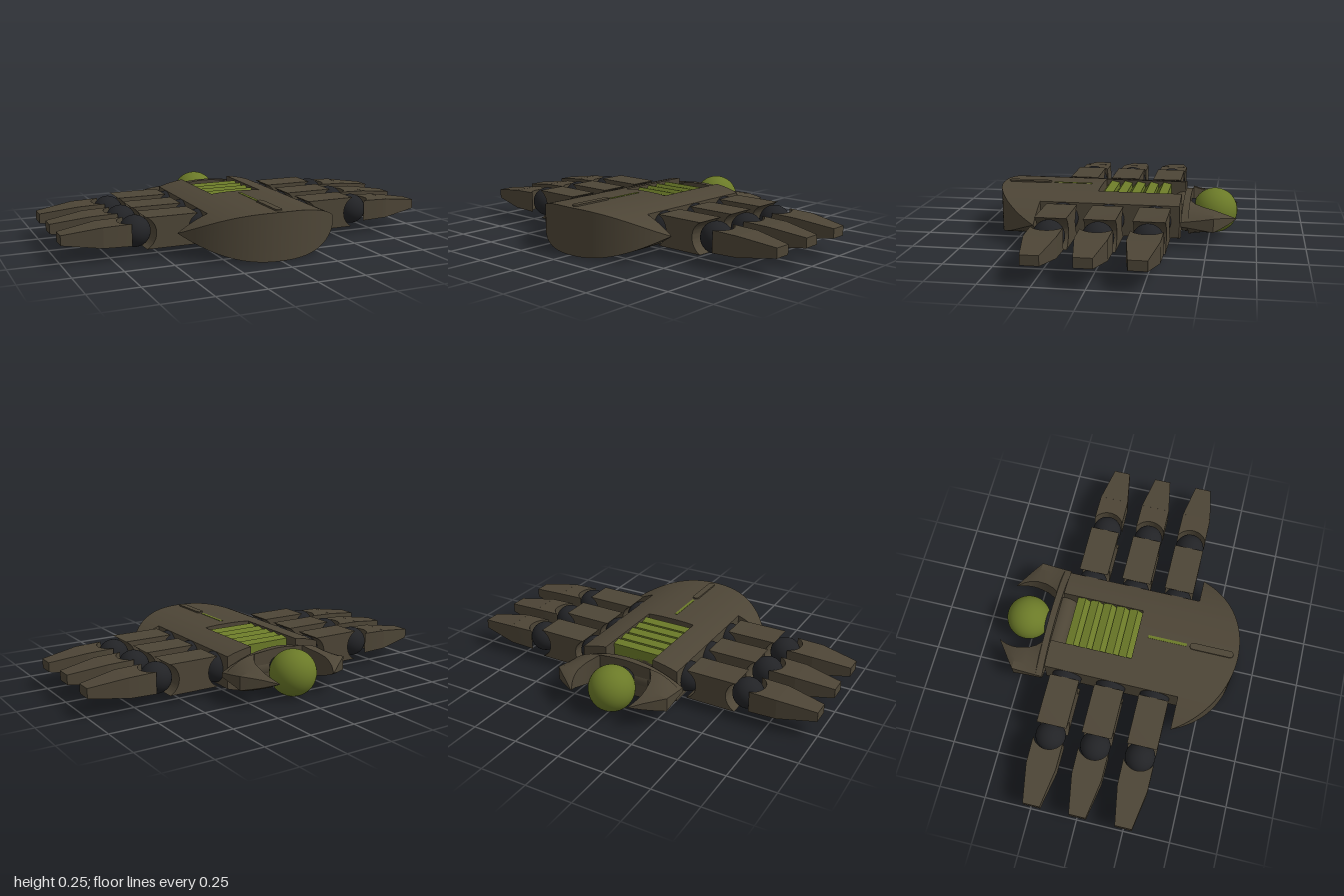
import * as THREE from 'three';
import { toCreasedNormals } from 'three/addons/utils/BufferGeometryUtils.js';

const MID = 0.122; // height of the horizontal symmetry plane
const armour = new THREE.MeshStandardMaterial({ color: 0x4d4536 });
const dark = new THREE.MeshStandardMaterial({ color: 0x222326 });
const green = new THREE.MeshStandardMaterial({ color: 0x6b7a28 });

function add(parent, name, geometry, material, x = 0, y = 0, z = 0) {
  const mesh = new THREE.Mesh(geometry, material);
  mesh.name = name;
  mesh.position.set(x, y, z);
  parent.add(mesh);
  return mesh;
}

// Skin a row of closed rings, skipping collapsed triangles
function loft(rings) {
  const pos = [];
  const tri = (...p) => {
    const [a, b, c] = p.map((q) => new THREE.Vector3(...q));
    if (b.clone().sub(a).cross(c.clone().sub(a)).length() > 1e-8) p.forEach((q) => pos.push(...q));
  };
  for (let i = 0; i < rings.length - 1; i++) {
    const a = rings[i], b = rings[i + 1], n = a.length;
    for (let j = 0; j < n; j++) {
      const k = (j + 1) % n;
      tri(a[j], b[j], b[k]);
      tri(a[j], b[k], a[k]);
    }
  }
  const g = new THREE.BufferGeometry();
  g.setAttribute('position', new THREE.Float32BufferAttribute(pos, 3));
  return toCreasedNormals(g, 0.4);
}

// Body: lens section, rounded front, straight sides, rear notch and top recess
const lens = (x) => 0.122 * (1 - Math.pow(Math.min(1, Math.abs(x) / 0.44), 2.6));
function bodyGeometry() {
  const ring = (x, zone) => {
    const h = lens(x), top = MID + h, bottom = MID - h;
    const front = 0.142 + Math.sqrt(Math.max(0, 0.498 ** 2 - x * x));
    const back = [-0.275, -0.355, 0.375][zone];
    const recess = zone === 0 ? 0.09 : back;
    const floor = zone === 0 ? 0.17 : top;
    return [[x, top, front], [x, top, recess], [x, floor, recess],
      [x, floor, back], [x, bottom, back], [x, bottom, front]];
  };
  const rings = [];
  const spans = [[-0.44, -0.28, 2], [-0.28, -0.14, 1], [-0.14, 0.14, 0], [0.14, 0.28, 1], [0.28, 0.44, 2]];
  for (const [x0, x1, zone] of spans) {
    for (let i = 0; i <= 12; i++) rings.push(ring(x0 + (x1 - x0) * i / 12, zone));
  }
  return loft(rings);
}

// One half of the rear collar: curved inside edge, thin outer rim, pointed tip
function collarGeometry() {
  // z, inner x, outer x, inner half height, outer half height
  const rows = [
    [-0.365, 0, 0.32, 0, 0], [-0.365, 0, 0.32, 0.1, 0.012], [-0.4, 0, 0.32, 0.1, 0.016],
    [-0.4, 0.15, 0.32, 0.088, 0.016], [-0.43, 0.173, 0.32, 0.073, 0.02],
    [-0.47, 0.191, 0.32, 0.063, 0.026], [-0.53, 0.2, 0.32, 0.05, 0.036],
    [-0.565, 0.197, 0.275, 0.037, 0.028], [-0.6, 0.187, 0.227, 0.023, 0.018],
    [-0.645, 0.164, 0.166, 0, 0],
  ];
  const cols = 6;
  return loft(rows.map(([z, xi, xo, hi, ho]) => {
    const ring = [];
    for (const side of [1, -1]) {
      for (let i = 0; i <= cols; i++) {
        const t = side > 0 ? 1 - i / cols : i / cols;
        ring.push([xi + (xo - xi) * t, MID + side * (hi + (ho - hi) * t * t), z]);
      }
    }
    return ring;
  }));
}

// Upper leg: block with hollow ends that clear the ball joints
function upperLegGeometry() {
  const s = new THREE.Shape();
  s.moveTo(0.315, -0.08);
  s.lineTo(0.583, -0.08);
  s.absarc(0.62, 0, 0.088, -2.0, -2.0 - 2 * (Math.PI - 2.0), true);
  s.lineTo(0.583, 0.08);
  s.lineTo(0.315, 0.08);
  s.absarc(0.28, 0, 0.085, 1.14, -1.14, true);
  const g = new THREE.ExtrudeGeometry(s, { depth: 0.16, bevelEnabled: false, curveSegments: 14 });
  return toCreasedNormals(g.translate(0, 0, -0.08), 0.5);
}

// Plan outline given thickness by a rule along x
function plate(shape, halfHeight) {
  const g = new THREE.ExtrudeGeometry(shape, { depth: 2, bevelEnabled: false, curveSegments: 14 });
  g.translate(0, 0, -1).rotateX(-Math.PI / 2);
  const p = g.attributes.position;
  for (let i = 0; i < p.count; i++) p.setY(i, p.getY(i) * halfHeight(p.getX(i)));
  return toCreasedNormals(g, 0.5);
}

function lowerLegGeometry() {
  const s = new THREE.Shape();
  s.moveTo(0.657, -0.08);
  s.lineTo(0.8, -0.079);
  s.lineTo(0.8, 0.079);
  s.lineTo(0.657, 0.08);
  s.absarc(0.62, 0, 0.088, 1.14, -1.14, true);
  return plate(s, (x) => 0.056 - (x - 0.657) * 0.03);
}

function footGeometry() {
  const s = new THREE.Shape();
  s.moveTo(0.8, -0.079);
  s.lineTo(1, -0.045);
  s.lineTo(1, 0.045);
  s.lineTo(0.8, 0.079);
  return plate(s, (x) => 0.052 - (x - 0.8) * 0.135);
}

// Sawtooth strip of louvres
function louvreGeometry() {
  const s = new THREE.Shape();
  const n = 5, pitch = 0.365 / n;
  s.moveTo(-0.09, 0.16);
  for (let i = 0; i < n; i++) {
    const z = -0.09 + i * pitch;
    s.lineTo(z, 0.195);
    s.lineTo(z + pitch * 0.4, 0.232);
    s.lineTo(z + pitch, 0.222);
  }
  s.lineTo(0.275, 0.16);
  const g = new THREE.ExtrudeGeometry(s, { depth: 0.28, bevelEnabled: false });
  return g.translate(0, 0, -0.14).rotateY(Math.PI / 2);
}

// Raised rib with round ends
function ribGeometry() {
  const s = new THREE.Shape();
  s.absarc(0, 0.1, 0.018, 0, Math.PI);
  s.absarc(0, -0.1, 0.018, Math.PI, Math.PI * 2);
  const g = new THREE.ExtrudeGeometry(s, { depth: 0.022, bevelEnabled: false, curveSegments: 10 });
  return g.rotateX(-Math.PI / 2);
}

export function createModel() {
  const model = new THREE.Group();
  model.name = 'sixLeggedCrawler';

  add(model, 'body', bodyGeometry(), armour);
  add(model, 'louvres', louvreGeometry(), green);
  add(model, 'topStripe', new THREE.BoxGeometry(0.016, 0.02, 0.21), green, 0, 0.236, 0.255);
  add(model, 'topRib', ribGeometry(), armour, 0, 0.23, 0.495);

  // Rear hinge, neck and ball
  add(model, 'hinge', new THREE.CylinderGeometry(0.06, 0.06, 0.276, 32).rotateZ(Math.PI / 2),
    armour, 0, MID, -0.345);
  add(model, 'neck', new THREE.CylinderGeometry(0.06, 0.06, 0.06, 24).rotateX(Math.PI / 2),
    dark, 0, MID, -0.395);
  add(model, 'rearBall', new THREE.SphereGeometry(0.12, 40, 28), green, 0, MID, -0.525);

  // Mirrored collar halves and three legs on each side
  const collar = collarGeometry(), upper = upperLegGeometry(), lower = lowerLegGeometry();
  const foot = footGeometry(), joint = new THREE.SphereGeometry(0.08, 32, 20);
  for (const side of [1, -1]) {
    const half = new THREE.Group();
    half.name = side > 0 ? 'leftSide' : 'rightSide';
    half.scale.x = side;
    model.add(half);
    add(half, 'collar', collar, armour);
    for (const z of [-0.233, 0.01, 0.252]) {
      const leg = new THREE.Group();
      leg.name = 'leg';
      leg.position.set(0, 0.125, z);
      half.add(leg);
      add(leg, 'hipJoint', joint, dark, 0.285);
      add(leg, 'upperLeg', upper, armour);
      add(leg, 'kneeJoint', joint, dark, 0.62);
      add(leg, 'lowerLeg', lower, armour);
      add(leg, 'foot', foot, armour);
    }
  }
  return model;
}
